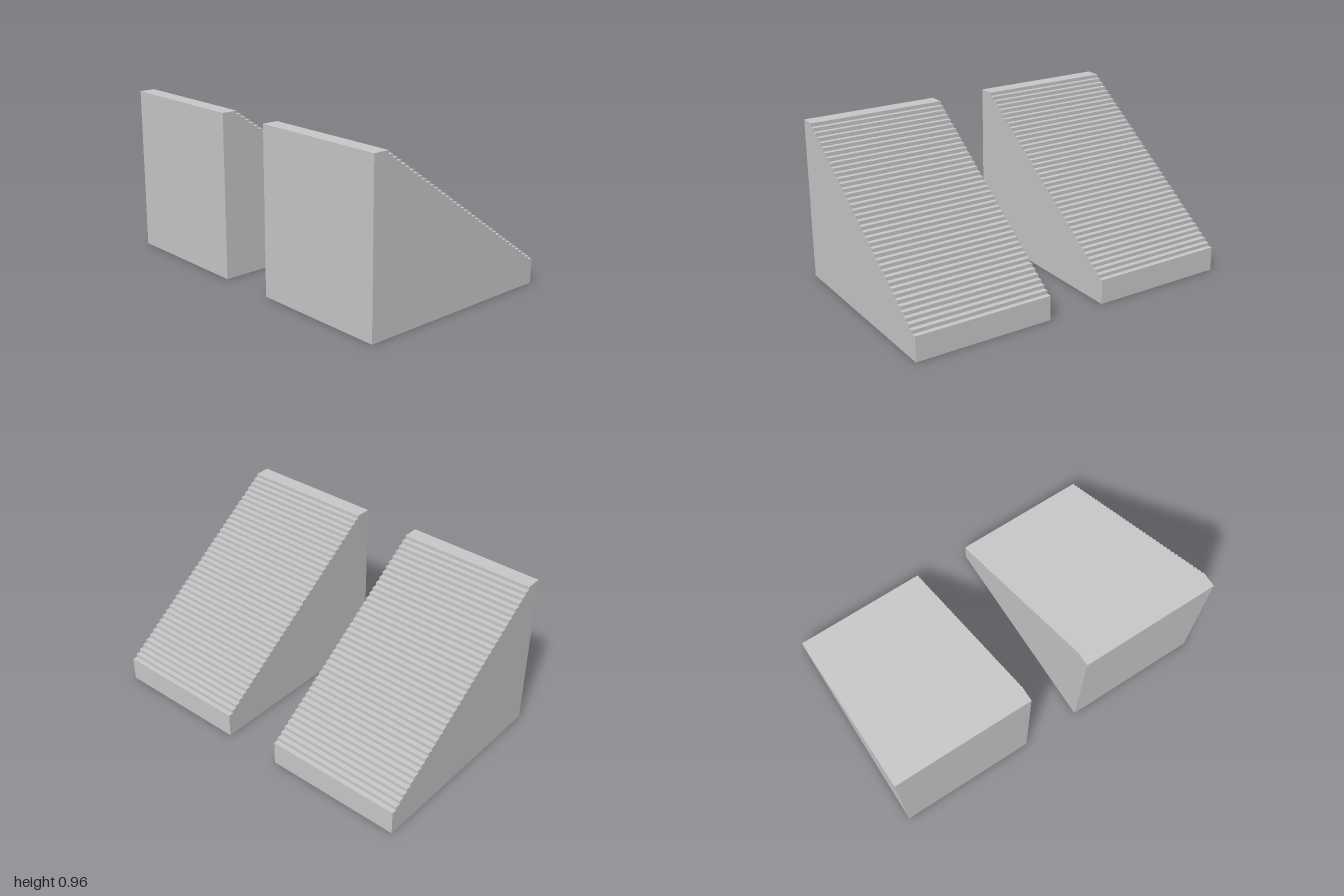
import * as THREE from 'three';

const STEPS = 39, HALF_DEPTH = 0.617, PLATFORM_Z = 0.523;
const TOP = 0.96, BOTTOM_STEP = 0.146;
const INNER = 0.175, OUTER = 1;

// Side profile: tall flat front, top platform, steps down towards the back
function stairProfile() {
  const rise = (TOP - BOTTOM_STEP) / STEPS;
  const run = (PLATFORM_Z + HALF_DEPTH) / STEPS;
  const shape = new THREE.Shape();
  shape.moveTo(-HALF_DEPTH, 0);
  shape.lineTo(HALF_DEPTH, 0);
  for (let i = STEPS; i > 0; i--) {
    const y = TOP - i * rise;
    shape.lineTo(-PLATFORM_Z + i * run, y);
    shape.lineTo(-PLATFORM_Z + (i - 1) * run, y);
  }
  shape.lineTo(-PLATFORM_Z, TOP);
  shape.lineTo(-HALF_DEPTH, TOP);
  shape.closePath();
  return shape;
}

export function createModel() {
  const group = new THREE.Group();
  group.name = 'twinStairs';
  const lightGrey = new THREE.MeshStandardMaterial({ color: 0xc8c8c8 });
  lightGrey.name = 'lightGrey';

  // Extrude across the width; profile x becomes -z
  const width = OUTER - INNER;
  const geometry = new THREE.ExtrudeGeometry(stairProfile(), { depth: width, bevelEnabled: false });
  geometry.translate(0, 0, -width / 2);
  geometry.rotateY(Math.PI / 2);

  // Two identical flights side by side
  for (const [name, side] of [['leftStairs', 1], ['rightStairs', -1]]) {
    const stairs = new THREE.Mesh(geometry, lightGrey);
    stairs.name = name;
    stairs.position.x = side * (INNER + OUTER) / 2;
    group.add(stairs);
  }
  return group;
}
